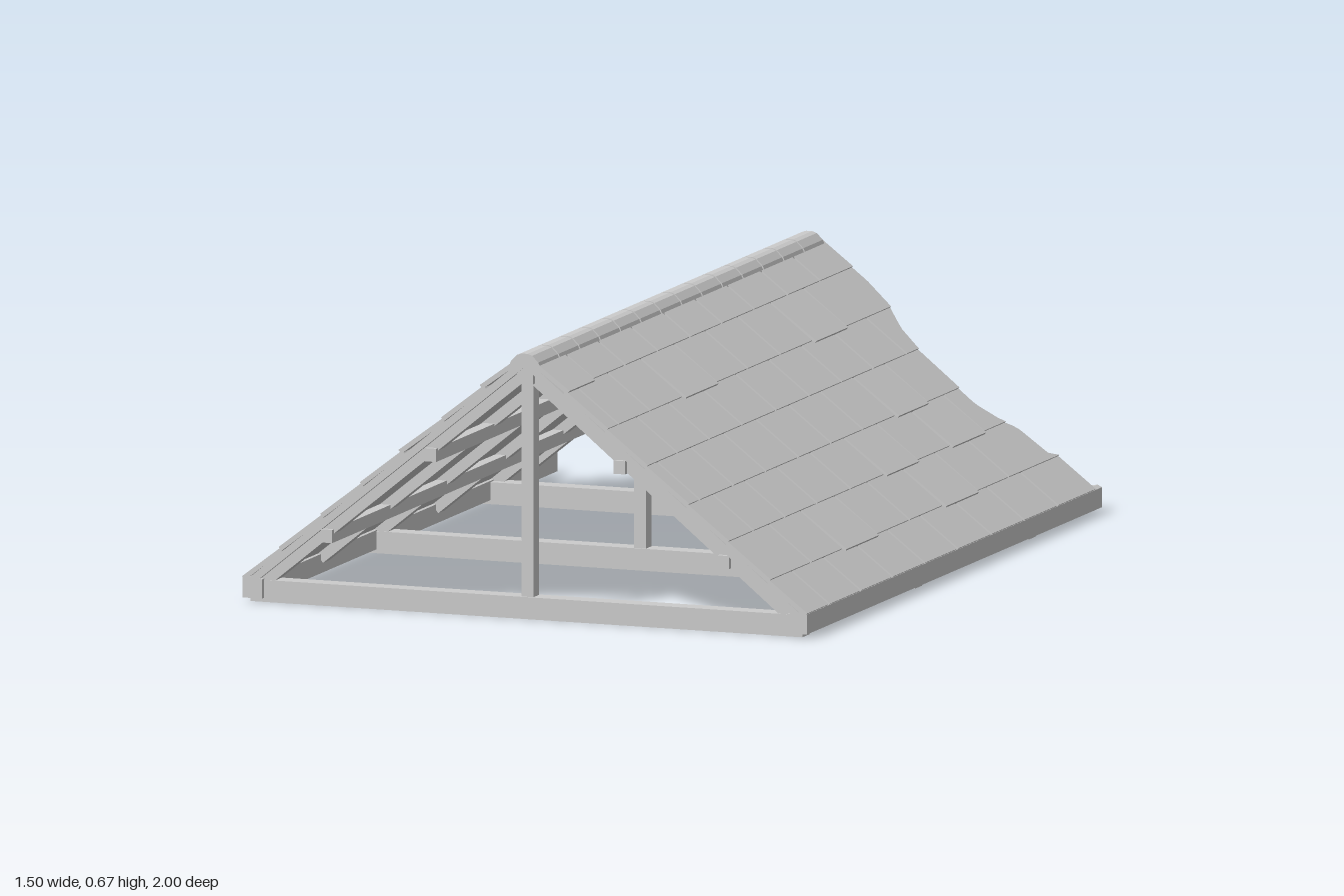
import * as THREE from 'three';

const PITCH = Math.atan(0.816), COS = Math.cos(PITCH), APEX = 0.671;
const material = new THREE.MeshStandardMaterial({ color: 0xcccccc, flatShading: true });

function add(parent, name, geometry, x = 0, y = 0, z = 0) {
  const mesh = new THREE.Mesh(geometry, material);
  mesh.name = name;
  mesh.position.set(x, y, z);
  parent.add(mesh);
  return mesh;
}

// Box given by its limits
function beam(parent, name, x0, x1, y0, y1, z0, z1) {
  return add(parent, name, new THREE.BoxGeometry(Math.abs(x1 - x0), y1 - y0, z1 - z0),
    (x0 + x1) / 2, (y0 + y1) / 2, (z0 + z1) / 2);
}

// Cross-section in x and y, extruded along z
function bar(points, z0, z1) {
  const shape = new THREE.Shape(points.map(p => new THREE.Vector2(...p)));
  return new THREE.ExtrudeGeometry(shape, { depth: z1 - z0, bevelEnabled: false }).translate(0, 0, z0);
}

// Broken back edge of each slope: [distance from ridge, z]
const brokenEdge = {
  left: [[0, -0.94], [0.15, -0.94], [0.22, -0.916], [0.27, -0.86], [0.32, -0.837], [0.48, -0.826],
    [0.53, -0.86], [0.56, -0.905], [0.645, -0.916], [0.65, -0.955], [0.76, -0.955]],
  right: [[0, -0.93], [0.035, -0.895], [0.11, -0.83], [0.22, -0.826], [0.285, -0.845], [0.33, -0.89],
    [0.43, -0.925], [0.44, -0.96], [0.54, -0.96], [0.55, -0.916], [0.645, -0.86], [0.7, -0.826], [0.76, -0.826]],
};

function edgeAt(edge, x) {
  for (let i = 1; i < edge.length; i++) {
    const [a, za] = edge[i - 1], [b, zb] = edge[i];
    if (x <= b) return za + (zb - za) * (x - a) / (b - a);
  }
  return edge[edge.length - 1][1];
}

// Flat piece lying on a slope; x0 and x1 are measured level from the ridge.
// Its lower end is lifted, and its back end follows the broken edge.
function sheet(side, edge, x0, x1, front, back, bottom, thickness, lift) {
  const steps = Math.max(6, Math.ceil((x1 - x0) / 0.015));
  const points = [new THREE.Vector2(side * x1 / COS, -front), new THREE.Vector2(side * x0 / COS, -front)];
  for (let i = 0; i <= steps; i++) {
    const x = x0 + (x1 - x0) * i / steps;
    points.push(new THREE.Vector2(side * x / COS, -Math.max(back, edgeAt(edge, x))));
  }
  const geometry = new THREE.ExtrudeGeometry(new THREE.Shape(points), { depth: thickness, bevelEnabled: false });
  geometry.rotateX(-Math.PI / 2).translate(0, bottom, 0);
  const pos = geometry.attributes.position;
  for (let i = 0; i < pos.count; i++) {
    const t = (Math.abs(pos.getX(i)) * COS - x0) / (x1 - x0);
    pos.setY(i, pos.getY(i) + lift * t);
  }
  geometry.computeVertexNormals();
  return geometry;
}

function seeded(seed) {
  return () => (seed = (seed * 16807) % 2147483647) / 2147483647;
}

const courses = [0.02, 0.11, 0.22, 0.325, 0.435, 0.54, 0.65, 0.747];
const firstJoint = [0.82, 0.93, 0.8, 0.93, 0.835, 0.725, 0.85];
const rafterZ = [0.963, 0.58, 0.2, -0.2, -0.59, -0.785];

function createSlope(side, edge) {
  const slope = new THREE.Group();
  slope.name = side > 0 ? 'leftSlope' : 'rightSlope';
  slope.position.y = APEX;
  slope.rotation.z = -side * PITCH;
  const random = seeded(side > 0 ? 71 : 193);

  // Boarding under the tiles
  add(slope, 'boarding', sheet(side, edge, 0.004, 0.742, 1, -1, -0.03, 0.018, 0));

  // Staggered tiles, course by course
  for (let c = 0; c < firstJoint.length; c++) {
    let front = 1, joint = firstJoint[c];
    while (front > -1) {
      const last = joint < -0.78;
      const slip = c < 6 && random() < 0.15 ? 0.006 : 0;
      add(slope, 'tile', sheet(side, edge, courses[c], courses[c + 1] + slip, front,
        last ? -1 : joint + 0.005, -0.014, 0.012, 0.004 + slip * 0.5));
      if (last) break;
      front = joint - 0.005;
      joint -= 0.22 + (random() - 0.5) * 0.02;
    }
  }

  // Rafters
  for (const z of rafterZ) {
    beam(slope, 'rafter', side * 0.03, side * 0.935, -0.056, -0.029, z - 0.022, z + 0.022);
  }
  return slope;
}

export function createModel() {
  const roof = new THREE.Group();
  roof.name = 'gableRoof';
  roof.add(createSlope(1, brokenEdge.left), createSlope(-1, brokenEdge.right));

  // Eave beams and purlins along both sides
  for (const s of [1, -1]) {
    add(roof, 'eaveBeam', bar([[0.695, 0.01], [0.747, 0.01], [0.747, 0.06], [0.735, 0.066], [0.695, 0.058]]
      .map(([x, y]) => [s * x, y]), -1, 1));
    beam(roof, 'upperPurlin', s * 0.235, s * 0.265, 0.38, 0.413, -0.9, 0.998);
    beam(roof, 'lowerPurlin', s * 0.51, s * 0.54, 0.16, 0.193, -0.92, 0.998);
  }

  // Ridge beam
  beam(roof, 'ridgeBeam', -0.021, 0.021, 0.59, 0.636, -0.965, 0.998);

  // Trusses: tie beam and king post
  for (const z of [0.963, 0.2, -0.57]) {
    beam(roof, 'tieBeam', -0.73, 0.73, 0, 0.055, z - 0.024, z + 0.024);
    beam(roof, 'kingPost', -0.016, 0.016, 0.05, 0.6, z - 0.018, z + 0.018);
  }

  // Ridge caps with narrow joints
  const cap = [[-0.042, 0.632], [0.042, 0.632], [0.036, 0.646], [0.02, 0.662], [0.008, 0.666],
    [-0.008, 0.666], [-0.02, 0.662], [-0.036, 0.646]];
  const count = 14, length = 1.935 / count;
  for (let i = 0; i < count; i++) {
    const z = 1 - i * length;
    add(roof, 'ridgeCap', bar(cap, z - length + 0.007, z));
  }
  add(roof, 'ridgeCapCore', bar(cap.map(([x, y]) => [x * 0.9, y - 0.006]), -0.93, 0.995));
  return roof;
}
